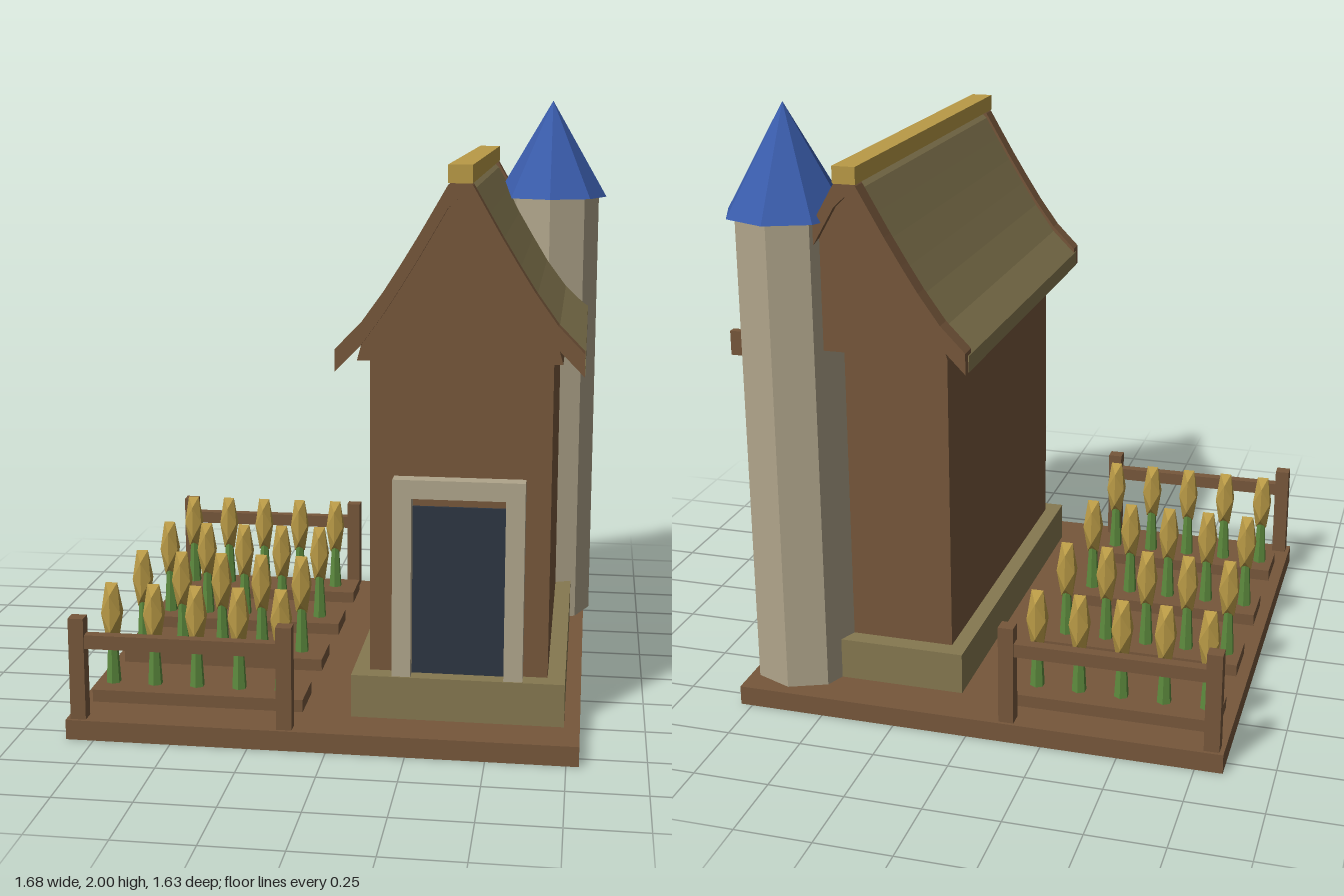
import * as THREE from 'three';

const paint = (name, color) => {
  const m = new THREE.MeshStandardMaterial({ color });
  m.name = name;
  return m;
};

export function createModel() {
  const root = new THREE.Group();
  root.name = 'cottage';
  const brown = paint('brown wood', 0x76573b);
  const olive = paint('olive thatch', 0x857850);
  const gold = paint('gold', 0xb99a46);
  const stone = paint('pale stone', 0xb0a58b);
  const blue = paint('blue slate', 0x3a5cab);
  const dark = paint('dark door', 0x2d3642);
  const green = paint('green stem', 0x5d8a3e);

  const add = (name, geo, mat, x = 0, y = 0, z = 0, parent = root) => {
    const mesh = new THREE.Mesh(geo, mat);
    mesh.name = name;
    mesh.position.set(x, y, z);
    parent.add(mesh);
    return mesh;
  };
  // Box given by its min and max on each axis
  const box = (name, mat, x0, x1, y0, y1, z0, z1, parent) =>
    add(name, new THREE.BoxGeometry(x1 - x0, y1 - y0, z1 - z0), mat,
      (x0 + x1) / 2, (y0 + y1) / 2, (z0 + z1) / 2, parent);
  // Outline extruded between two z planes
  const slab = (name, mat, pts, z0, z1) => {
    const shape = new THREE.Shape(pts.map(([x, y]) => new THREE.Vector2(x, y)));
    const geo = new THREE.ExtrudeGeometry(shape, { depth: z1 - z0, bevelEnabled: false });
    return add(name, geo, mat, 0.398, 0, z0);
  };
  // Low-poly geometry with faceted normals
  const facet = (geo) => {
    const g = geo.index ? geo.toNonIndexed() : geo;
    g.computeVertexNormals();
    return g;
  };

  // Ground slab
  box('base', brown, -0.84, 0.79, 0, 0.065, -0.815, 0.815);

  // House body
  box('foundation', olive, 0.06, 0.74, 0.065, 0.205, -0.66, 0.66);
  box('walls', brown, 0.113, 0.684, 0.205, 1.26, -0.6, 0.6);

  // Door and its stone surround
  box('door', dark, 0.25, 0.546, 0.205, 0.755, 0.6, 0.609);
  box('doorPostRight', stone, 0.19, 0.25, 0.205, 0.79, 0.6, 0.655);
  box('doorPostLeft', stone, 0.546, 0.606, 0.205, 0.79, 0.6, 0.655);
  box('doorLintel', stone, 0.19, 0.606, 0.79, 0.85, 0.6, 0.655);

  // Flared roof: half profile from ridge to eave, mirrored
  const half = [[0, 1.80], [0.037, 1.765], [0.08, 1.69], [0.125, 1.612], [0.178, 1.525],
    [0.23, 1.443], [0.30, 1.345], [0.38, 1.263]];
  const mirrored = (dy, eave) => {
    const h = half.map(([x, y], i) => [i === half.length - 1 ? eave : x, y + dy]);
    return [...h.slice(1).reverse().map(([x, y]) => [-x, y]), ...h];
  };
  const shell = (up, eave) => [...mirrored(up, eave), ...mirrored(-0.065, eave).reverse()];
  slab('roof', olive, shell(-0.012, 0.382), -0.68, 0.68);
  for (const [name, z] of [['frontBargeboards', 0.65], ['backBargeboards', -0.71]])
    slab(name, brown, shell(0.005, 0.38), z, z + 0.06);
  const under = mirrored(-0.06, 0.38).slice(1, -1);
  slab('gableInfill', brown, [[-0.315, 1.23], ...under, [0.315, 1.23]], -0.685, 0.685);
  box('ridgeBeam', gold, 0.36, 0.435, 1.775, 1.83, -0.712, 0.712);

  // Octagonal tower
  const tx = 0.635, tz = -0.6;
  add('tower', facet(new THREE.CylinderGeometry(0.175, 0.175, 1.59, 8)), stone, tx, 0.86, tz);
  add('towerRoof', facet(new THREE.ConeGeometry(0.203, 0.35, 8)), blue, tx, 1.825, tz);
  box('towerWindow', brown, 0.73, 0.80, 1.2, 1.28, -0.715, -0.688);

  // Garden fences at front and back
  for (const s of [1, -1]) {
    const fence = new THREE.Group();
    fence.name = s > 0 ? 'frontFence' : 'backFence';
    fence.position.z = s * 0.78;
    root.add(fence);
    for (const x of [-0.826, -0.158])
      box('fencePost', brown, x, x + 0.05, 0.065, 0.4, -0.024, 0.024, fence);
    box('fenceRail', brown, -0.776, -0.158, 0.3, 0.345, -0.018, 0.018, fence);
  }

  // Four beds with five flowers each
  const stemGeo = facet(new THREE.CylinderGeometry(0.014, 0.025, 0.18, 6));
  const budGeo = facet(new THREE.IcosahedronGeometry(0.038, 0).scale(1, 3.15, 1));
  for (const z of [-0.605, -0.217, 0.172, 0.56]) {
    const bed = new THREE.Group();
    bed.name = 'flowerBed';
    bed.position.z = z;
    root.add(bed);
    box('soil', brown, -0.8, -0.1, 0.065, 0.106, -0.086, 0.086, bed);
    for (let i = 0; i < 5; i++) {
      const x = -0.752 + i * 0.142;
      add('stem', stemGeo, green, x, 0.196, 0, bed);
      add('bud', budGeo, gold, x, 0.347, 0, bed);
    }
  }
  return root;
}
